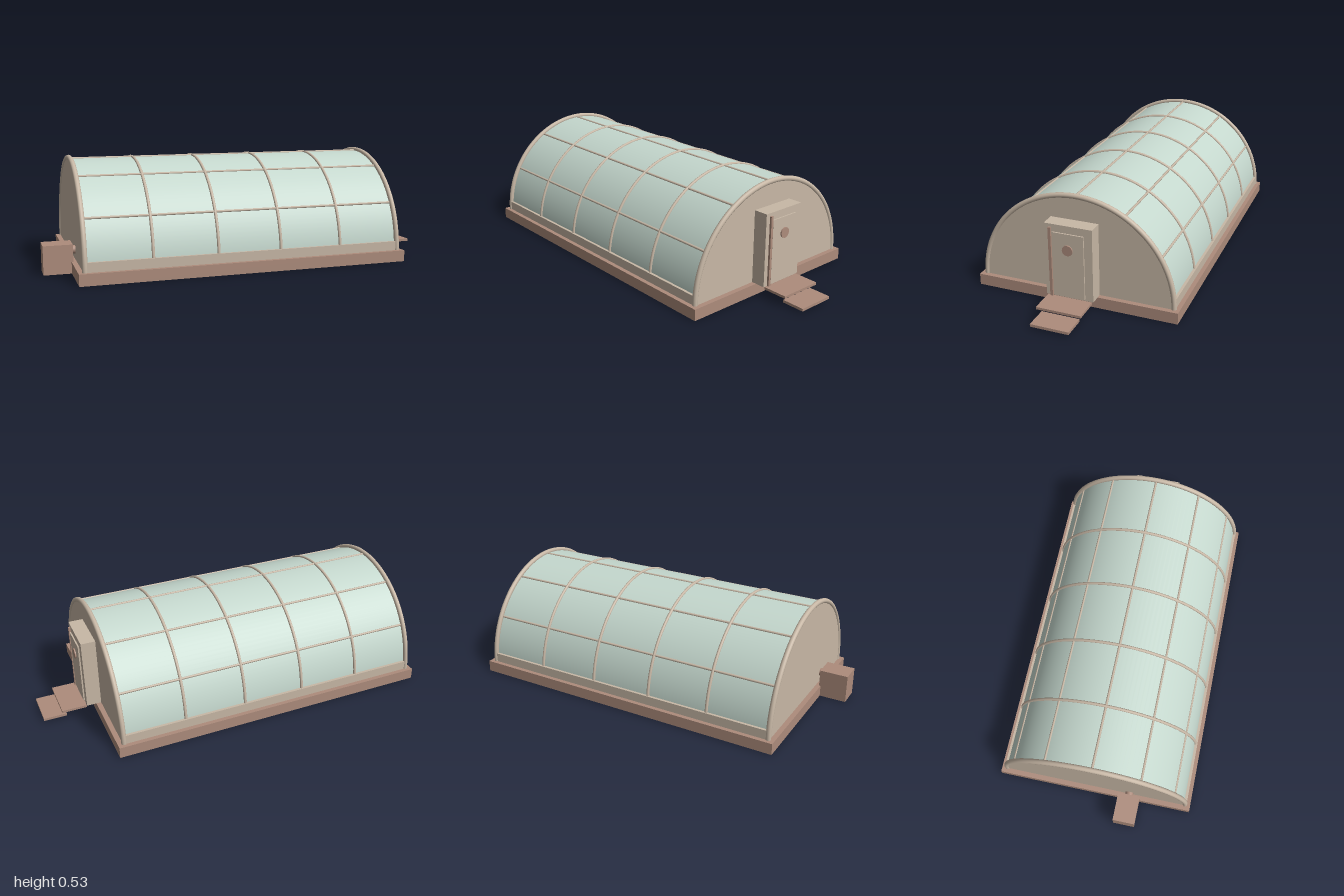
import * as THREE from 'three';

const mat = (name, color) => {
  const m = new THREE.MeshStandardMaterial({ color });
  m.name = name;
  return m;
};

export function createModel() {
  const beige = mat('beige frame', 0xc8b8a6);
  const brown = mat('brown base', 0xad8c7c);
  const glassMat = mat('pale green glass', 0xc5d8ce);
  glassMat.side = THREE.DoubleSide;

  const model = new THREE.Group();
  model.name = 'greenhouse';
  const add = (name, geometry, material, x = 0, y = 0, z = 0) => {
    const mesh = new THREE.Mesh(geometry, material);
    mesh.name = name;
    mesh.position.set(x, y, z);
    model.add(mesh);
    return mesh;
  };
  // Box given by its minimum and maximum on each axis
  const box = (name, material, x0, x1, y0, y1, z0, z1) =>
    add(name, new THREE.BoxGeometry(x1 - x0, y1 - y0, z1 - z0), material,
      (x0 + x1) / 2, (y0 + y1) / 2, (z0 + z1) / 2);

  const FLOOR = 0.055, LEFT = -0.84, RIGHT = 0.71, R = 0.463;
  const LEN = RIGHT - LEFT, MID = (LEFT + RIGHT) / 2;

  // Foundation and low side walls
  box('foundation', brown, -0.87, 0.74, 0, FLOOR, -0.495, 0.495);
  for (const s of [-1, 1]) {
    add('sideSill', new THREE.BoxGeometry(LEN - 0.01, 0.045, 0.02), beige, MID, FLOOR + 0.0225, s * 0.464);
  }

  // Barrel vault of glass
  const vault = new THREE.CylinderGeometry(R, R, LEN, 64, 1, true, 0, Math.PI);
  vault.rotateZ(Math.PI / 2);
  add('glassVault', vault, glassMat, MID, FLOOR, 0);

  // Half-round hoops: thick at the ends, thin between
  const hoop = (name, x, radius, tube) => {
    const g = new THREE.TorusGeometry(radius, tube, 10, 64, Math.PI);
    g.rotateY(Math.PI / 2);
    add(name, g, beige, x, FLOOR, 0);
  };
  hoop('endHoop', LEFT, 0.4675, 0.0125);
  hoop('endHoop', RIGHT, 0.4675, 0.0125);
  for (let i = 1; i < 5; i++) hoop('rib', LEFT + (LEN * i) / 5, R + 0.001, 0.0075);

  // Lengthwise bars over the glass
  for (let i = 1; i < 6; i++) {
    const a = (i * Math.PI) / 6;
    const g = new THREE.CylinderGeometry(0.006, 0.006, LEN, 8);
    g.rotateZ(Math.PI / 2);
    add('purlin', g, beige, MID, FLOOR + Math.sin(a) * R, Math.cos(a) * R);
  }

  // Half-disc end walls
  const half = new THREE.Shape();
  half.absarc(0, 0, 0.462, 0, Math.PI, false);
  half.closePath();
  for (const x of [LEFT, RIGHT]) {
    const g = new THREE.ExtrudeGeometry(half, { depth: 0.012, bevelEnabled: false, curveSegments: 64 });
    g.translate(0, 0, -0.006);
    g.rotateY(Math.PI / 2);
    add('endWall', g, beige, x, FLOOR, 0);
  }

  // Entrance porch, door, post and porthole
  box('porch', beige, 0.705, 0.787, FLOOR, 0.41, -0.115, 0.115);
  box('door', beige, 0.78, 0.794, 0.064, 0.374, -0.076, 0.076);
  box('doorPost', brown, 0.78, 0.797, FLOOR, 0.395, 0.08, 0.093);
  const porthole = new THREE.CylinderGeometry(0.025, 0.025, 0.009, 32);
  porthole.rotateZ(Math.PI / 2);
  add('porthole', porthole, brown, 0.796, 0.297, 0);

  // Entrance steps
  box('upperStep', brown, 0.787, 0.91, 0.042, 0.054, -0.108, 0.108);
  box('lowerStep', brown, 0.887, 1, 0.01, 0.023, -0.092, 0.092);

  // Utility box and its pipe into the far end wall
  box('utilityBox', brown, -1, -0.862, 0, 0.138, 0.125, 0.235);
  const pipe = new THREE.CylinderGeometry(0.02, 0.02, 0.04, 16);
  pipe.rotateZ(Math.PI / 2);
  add('utilityPipe', pipe, brown, -0.855, 0.104, 0.18);

  return model;
}
